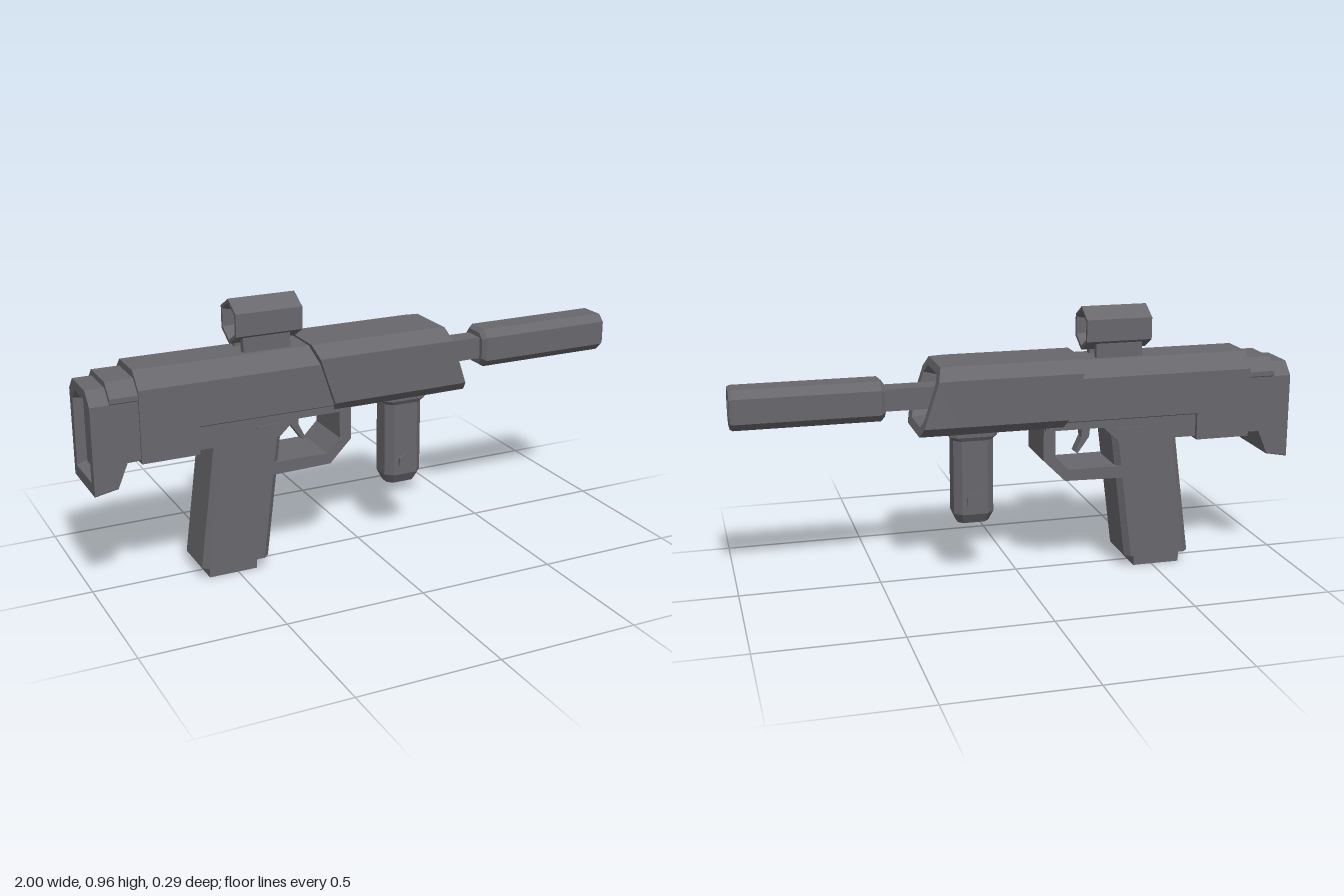
import * as THREE from 'three';

const gunmetal = new THREE.MeshStandardMaterial({ color: 0x68676c, flatShading: true });
gunmetal.name = 'gunmetal';

// Eight-sided outline, anticlockwise; ct / cb are the top and bottom corner cuts
function octagon(u0, u1, v0, v1, ct, cb = ct) {
  return [[u1, v0 + cb], [u1, v1 - ct], [u1 - ct, v1], [u0 + ct, v1],
    [u0, v1 - ct], [u0, v0 + cb], [u0 + cb, v0], [u1 - cb, v0]];
}
// Cross-section facing +x, leaning back by slope above y = 0.555
const atX = (x, hw, y0, y1, ct, cb, slope = 0) =>
  octagon(-hw, hw, y0, y1, ct, cb).map(([u, v]) => [x + slope * (v - 0.555), v, -u]);
// Cross-section facing +y
const atY = (y, x0, x1, hw, c) => octagon(x0, x1, -hw, hw, c).map(([u, v]) => [u, y, -v]);
// Hexagon with a point at the top, facing +x
const hexAt = (x, r) => Array.from({ length: 6 }, (_, i) => {
  const a = Math.PI / 6 + i * Math.PI / 3;
  return [x, 0.885 + r * Math.sin(a), -r * Math.cos(a)];
});

// Skin a chain of cross-sections; either capped or closed into a tube
function loft(rings, closed = false) {
  const pos = [];
  const n = rings[0].length;
  const tri = (...p) => p.forEach((q) => pos.push(...q));
  const count = closed ? rings.length : rings.length - 1;
  for (let i = 0; i < count; i++) {
    const A = rings[i], B = rings[(i + 1) % rings.length];
    for (let j = 0; j < n; j++) {
      const k = (j + 1) % n;
      tri(A[j], A[k], B[k]);
      tri(A[j], B[k], B[j]);
    }
  }
  if (!closed) {
    const A = rings[0], B = rings[rings.length - 1];
    for (let j = 1; j < n - 1; j++) {
      tri(A[0], A[j + 1], A[j]);
      tri(B[0], B[j], B[j + 1]);
    }
  }
  const g = new THREE.BufferGeometry();
  g.setAttribute('position', new THREE.Float32BufferAttribute(pos, 3));
  g.computeVertexNormals();
  return g;
}
// Side profile given thickness across z
function slab(points, hw) {
  const shape = new THREE.Shape(points.map(([x, y]) => new THREE.Vector2(x, y)));
  return new THREE.ExtrudeGeometry(shape, { depth: 2 * hw, bevelEnabled: false }).translate(0, 0, -hw);
}
const box = (x0, x1, y0, y1, z0, z1) => new THREE.BoxGeometry(x1 - x0, y1 - y0, z1 - z0)
  .translate((x0 + x1) / 2, (y0 + y1) / 2, (z0 + z1) / 2);

export function createModel() {
  const model = new THREE.Group();
  model.name = 'rifle';
  const add = (name, geometry) => {
    const m = new THREE.Mesh(geometry, gunmetal);
    m.name = name;
    model.add(m);
    return m;
  };

  // Receiver
  add('upperReceiver', loft([
    atX(-0.84, 0.125, 0.575, 0.785, 0.055, 0.003),
    atX(-0.12, 0.125, 0.575, 0.785, 0.055, 0.003, -0.33)]));
  add('rearReceiver', box(-0.84, -0.64, 0.48, 0.58, -0.125, 0.125));
  add('lowerFrame', slab([[-0.65, 0.49], [-0.35, 0.49], [-0.29, 0.545], [-0.08, 0.545],
    [-0.08, 0.6], [-0.65, 0.6]], 0.11));

  // Stock with a hollow rear face
  add('stock', loft([
    atX(-0.965, 0.085, 0.44, 0.7, 0.035, 0.003), atX(-1, 0.085, 0.43, 0.705, 0.035, 0.003),
    atX(-1, 0.118, 0.39, 0.74, 0.045, 0.003), atX(-0.92, 0.118, 0.405, 0.74, 0.045, 0.003),
    atX(-0.885, 0.118, 0.49, 0.74, 0.045, 0.003), atX(-0.83, 0.118, 0.49, 0.74, 0.045, 0.003)]));
  add('stockCollar', loft([
    atX(-0.935, 0.121, 0.695, 0.76, 0.045, 0.003),
    atX(-0.83, 0.121, 0.695, 0.76, 0.045, 0.003)]));

  // Handguard with a slanted, recessed mouth
  add('handguard', loft([
    atX(-0.143, 0.143, 0.555, 0.795, 0.042, 0.035, -0.33),
    atX(0.235, 0.143, 0.555, 0.795, 0.042, 0.035),
    atX(0.37, 0.141, 0.555, 0.793, 0.042, 0.035, -0.33),
    atX(0.37, 0.103, 0.582, 0.767, 0.03, 0.03, -0.33),
    atX(0.31, 0.09, 0.595, 0.755, 0.03, 0.03, -0.33)]));

  // Barrel and suppressor with a square bore
  add('barrel', box(0.22, 0.5, 0.637, 0.715, -0.039, 0.039));
  add('suppressor', loft([
    atX(0.475, 0.056, 0.618, 0.732, 0.022), atX(0.49, 0.069, 0.605, 0.745, 0.027),
    atX(0.99, 0.069, 0.605, 0.745, 0.027), atX(1, 0.064, 0.61, 0.74, 0.025),
    atX(1, 0.032, 0.643, 0.707, 0.002), atX(0.92, 0.032, 0.643, 0.707, 0.002)]));

  // Sight tube, inner ring and mounting posts
  add('sightTube', loft([hexAt(-0.48, 0.078), hexAt(-0.24, 0.078), hexAt(-0.24, 0.064),
    hexAt(-0.26, 0.056), hexAt(-0.46, 0.056), hexAt(-0.48, 0.064)], true));
  const ring = [];
  for (const [x, r] of [[-0.44, 0.054], [-0.28, 0.054], [-0.28, 0.044], [-0.44, 0.044]]) {
    ring.push(Array.from({ length: 8 }, (_, i) => {
      const a = Math.PI / 8 + i * Math.PI / 4;
      return [x, 0.885 + r * Math.sin(a), -r * Math.cos(a)];
    }));
  }
  add('sightRing', loft(ring, true));
  for (const s of [-1, 1]) {
    add('sightPost', box(-0.45, -0.28, 0.77, 0.835, s * 0.041 - 0.012, s * 0.041 + 0.012));
  }

  // Pistol grip and base plate
  add('grip', loft([atY(0.045, -0.635, -0.39, 0.098, 0.02), atY(0.56, -0.566, -0.325, 0.098, 0.02)]));
  add('gripBase', box(-0.605, -0.43, 0, 0.05, -0.072, 0.072));
  for (const s of [-1, 1]) {
    add('gripCatch', box(-0.43, -0.33, 0.528, 0.54, s * 0.111 - 0.004, s * 0.111 + 0.004));
  }

  // Trigger guard and curved trigger
  add('triggerGuard', slab([[-0.37, 0.35], [-0.155, 0.355], [-0.075, 0.435], [-0.075, 0.56],
    [-0.118, 0.56], [-0.118, 0.445], [-0.168, 0.395], [-0.37, 0.395]], 0.098));
  add('trigger', slab([[-0.275, 0.56], [-0.268, 0.49], [-0.225, 0.43], [-0.215, 0.437],
    [-0.24, 0.49], [-0.235, 0.56]], 0.02));

  // Foregrip with flange and hexagonal bolts
  add('foregripFlange', loft([atY(0.515, 0.095, 0.235, 0.057, 0.022),
    atY(0.53, 0.08, 0.25, 0.066, 0.022), atY(0.57, 0.08, 0.25, 0.066, 0.022)]));
  add('foregrip', loft([atY(0.208, 0.108, 0.22, 0.036, 0.018),
    atY(0.245, 0.092, 0.236, 0.057, 0.026), atY(0.53, 0.092, 0.236, 0.057, 0.026)]));
  const bolt = add('foregripBolt', new THREE.CylinderGeometry(0.032, 0.032, 0.13, 6));
  bolt.rotation.x = Math.PI / 2;
  bolt.position.set(0.165, 0.295, 0);

  return model;
}
